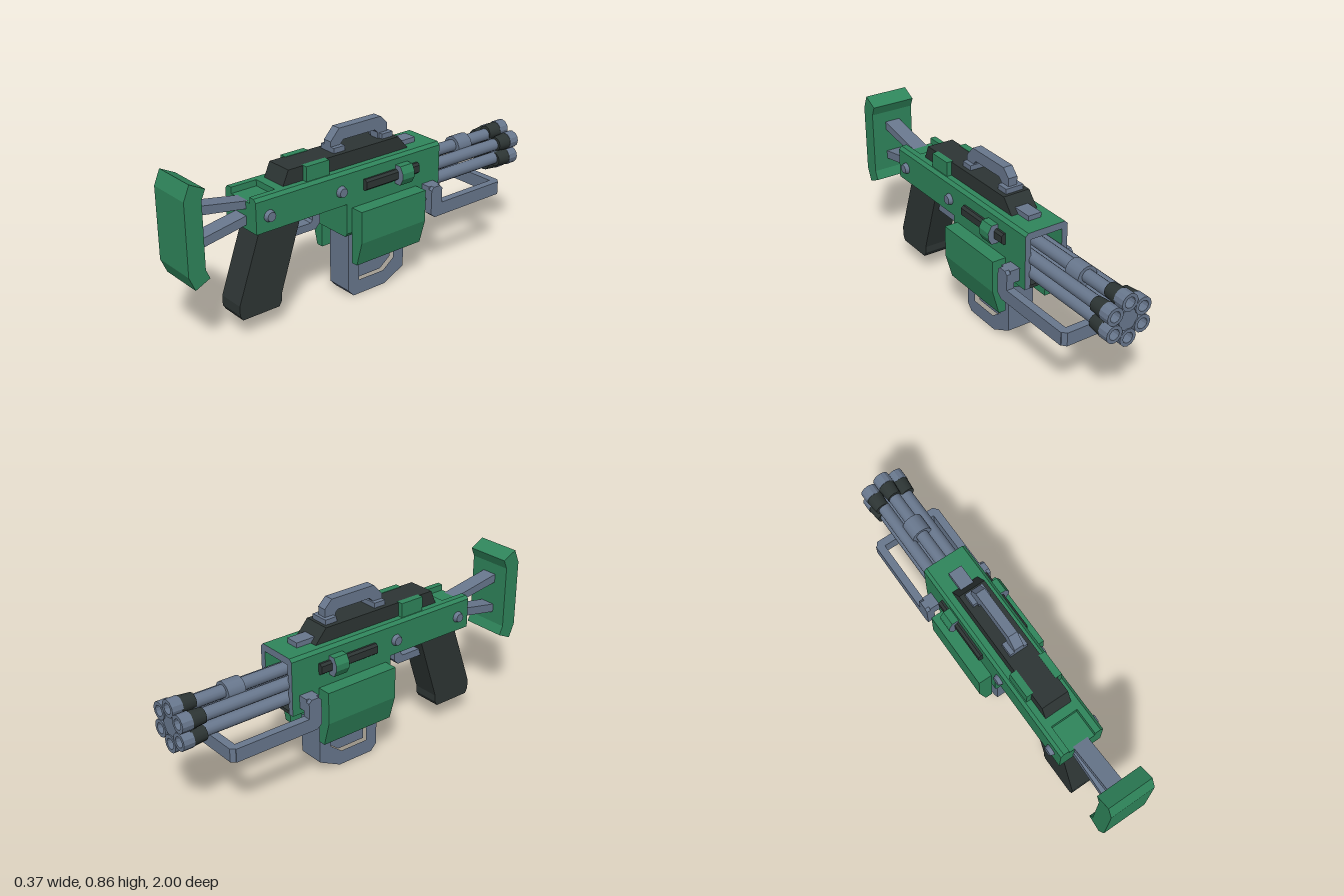
import * as THREE from 'three';

const mat = (name, color, side = THREE.FrontSide) => {
  const m = new THREE.MeshStandardMaterial({ color, side });
  m.name = name;
  return m;
};

export function createModel() {
  const green = mat('green shell', 0x2f855b);
  const grey = mat('blue grey metal', 0x68778d);
  const dark = mat('charcoal', 0x2d3534);
  const root = new THREE.Group();

  const add = (name, geo, material, x = 0, y = 0, z = 0, parent = root) => {
    const m = new THREE.Mesh(geo, material);
    m.name = name;
    m.position.set(x, y, z);
    parent.add(m);
    return m;
  };
  const toShape = pts => new THREE.Shape(pts.map(p => new THREE.Vector2(...p)));
  // Side profile given as (z, y), extruded across x about its centre
  const sideGeo = (pts, width, hole) => {
    const s = toShape(pts);
    if (hole) s.holes.push(toShape(hole));
    return new THREE.ExtrudeGeometry(s, { depth: width, bevelEnabled: false })
      .translate(0, 0, -width / 2).rotateY(-Math.PI / 2);
  };
  // Cross-section given as (x, y), extruded from z0 to z1
  const frontGeo = (pts, z0, z1) =>
    new THREE.ExtrudeGeometry(toShape(pts), { depth: z1 - z0, bevelEnabled: false }).translate(0, 0, z0);
  // Box given by its limits
  const box = (name, material, x0, x1, y0, y1, z0, z1) =>
    add(name, new THREE.BoxGeometry(x1 - x0, y1 - y0, z1 - z0), material,
      (x0 + x1) / 2, (y0 + y1) / 2, (z0 + z1) / 2);
  const mirrorX = (pts, s) => pts.map(([x, y]) => [x * s, y]);

  // Shoulder stock and its two struts
  add('stockPad', sideGeo([[1, .43], [1, .775], [.97, .845], [.895, .807], [.915, .76],
    [.915, .44], [.895, .395], [.97, .36]], .23), green);
  add('upperStrut', sideGeo([[.93, .708], [.93, .664], [.5, .596], [.5, .63]], .08), grey);
  add('lowerStrut', sideGeo([[.93, .537], [.93, .494], [.6, .552], [.6, .595]], .08), grey);

  // Receiver: main block, notched rear and open front shroud
  const W = .115, C = .015;
  add('receiver', frontGeo([[-W, .52], [W, .52], [W, .685 - C], [W - C, .685], [C - W, .685], [-W, .685 - C]],
    -.28, .515), green);
  add('receiverRear', frontGeo([[-W, .52], [W, .52], [W, .685 - C], [W - C, .685], [.07, .685], [.07, .655],
    [-.07, .655], [-.07, .685], [C - W, .685], [-W, .685 - C]], .515, .65), green);
  add('frontShroud', frontGeo([[-W, .4], [-.085, .4], [-.085, .65], [.085, .65], [.085, .4], [W, .4],
    [W, .685 - C], [W - C, .685], [C - W, .685], [-W, .685 - C]], -.435, -.28), [grey, green]);
  box('shroudBack', dark, -.085, .085, .41, .65, -.29, -.28);
  box('shroudFloor', dark, -.085, .085, .396, .412, -.43, -.28);
  add('lowerReceiver', frontGeo([[-.1, .35], [.1, .35], [W, .37], [W, .52], [-W, .52], [-W, .37]],
    -.28, .145), green);
  add('lowerReceiverNose', sideGeo([[-.28, .35], [-.28, .4], [-.4, .4], [-.32, .35]], .2), green);

  // Top cover, sight block and carry handle
  add('topCover', sideGeo([[.473, .68], [.44, .755], [-.205, .755], [-.27, .68]], .14), dark);
  box('sightBlock', grey, -.035, .035, .68, .71, -.345, -.235);
  add('carryHandle', sideGeo([[.165, .75], [.165, .805], [.115, .86], [-.135, .86], [-.175, .82], [-.175, .75],
    [-.115, .75], [-.115, .785], [-.1, .8], [.09, .8], [.11, .78], [.11, .75]], .048), grey);
  for (const [a, b] of [[-.19, -.125], [.1, .165]]) box('handleFoot', grey, -.047, .047, .75, .78, a, b);

  // Pistol grip and trigger guard
  add('grip', sideGeo([[.6, .525], [.375, .525], [.495, .16], [.495, .125], [.51, .1], [.71, .1],
    [.725, .125], [.725, .175]], .14), dark);
  add('triggerGuard', sideGeo([[.285, .53], [.285, .455], [.295, .443], [.42, .443], [.42, .405],
    [.265, .405], [.242, .43], [.242, .53]], .07), grey);

  // Magazine: thick rim around a recessed core
  const rim = [[.1, .38], [.1, .035], [.068, 0], [-.13, 0], [-.25, .06], [-.25, .38]];
  const recess = [[.035, .36], [.035, .075], [-.12, .075], [-.185, .125], [-.185, .36]];
  add('magazineRim', sideGeo(rim, .14, recess), grey);
  add('magazineCore', sideGeo(recess, .09), grey);

  // Parts repeated on both sides
  for (const s of [1, -1]) {
    add('sidePad', frontGeo(mirrorX([[.113, .21], [.15, .21], [.185, .335], [.185, .495], [.113, .495]], s),
      -.285, .115), green);
    add('slotRail', frontGeo(mirrorX([[.11, .565], [.125, .565], [.138, .575], [.138, .61], [.125, .62], [.11, .62]], s),
      -.285, .045), dark);
    add('slideKnob', frontGeo(mirrorX([[.11, .545], [.15, .545], [.168, .578], [.168, .607], [.15, .64], [.11, .64]], s),
      -.225, -.15), [grey, green]);
    box('coverClip', green, s > 0 ? .06 : -.095, s > 0 ? .095 : -.06, .68, .757, .23, .36);
    for (const z of [.58, .178]) {
      const g = new THREE.CylinderGeometry(.022, .032, .03, 12).rotateZ(-s * Math.PI / 2);
      add('bolt', g, grey, s * .12, .593, z);
    }
    // Hand guard arm with its mounting lug
    add('guardArm', sideGeo([[-.325, .48], [-.34, .495], [-.38, .495], [-.395, .48], [-.395, .402],
      [-.79, .402], [-.79, .335], [-.35, .335], [-.325, .355]], .04), grey, s * .165);
    box('guardLug', grey, s > 0 ? .1 : -.165, s > 0 ? .165 : -.1, .43, .495, -.395, -.325);
  }
  const bar = new THREE.ExtrudeGeometry(toShape([[-.185, .77], [-.145, .77], [.145, .77], [.185, .77],
    [.185, .785], [.165, .81], [-.165, .81], [-.185, .785]]), { depth: .067, bevelEnabled: false })
    .rotateX(-Math.PI / 2);
  add('guardCrossbar', bar, grey, 0, .335, 0);

  // Rotary barrels
  const barrels = new THREE.Group();
  barrels.name = 'barrelCluster';
  barrels.position.y = .51;
  root.add(barrels);
  const rod = (r0, r1, z0, z1, n = 14) =>
    new THREE.CylinderGeometry(r1, r0, z1 - z0, n).rotateX(Math.PI / 2).translate(0, 0, (z0 + z1) / 2);
  const ring = new THREE.LatheGeometry([[.026, 0], [.043, 0], [.043, .055], [.026, .055], [.026, 0]]
    .map(p => new THREE.Vector2(...p)), 12).rotateX(Math.PI / 2);
  for (let i = 0; i < 6; i++) {
    const a = Math.PI / 2 + i * Math.PI / 3, c = Math.cos(a), s = Math.sin(a);
    add('barrel', rod(.031, .031, -.9, -.28), grey, c * .074, s * .074, 0, barrels);
    add('barrelCollar', rod(.043, .036, -.95, -.875, 12), dark, c * .084, s * .084, 0, barrels)
      .rotation.z = 0;
    add('muzzleRing', ring.clone().toNonIndexed(), grey, c * .086, s * .086, -1, barrels);
    add('boreFloor', rod(.03, .03, -.957, -.949, 12), grey, c * .086, s * .086, 0, barrels);
  }
  add('centreRod', rod(.03, .03, -.95, -.28), grey, 0, 0, 0, barrels);
  add('muzzleHub', rod(.05, .05, -.995, -.94, 12), grey, 0, 0, 0, barrels);
  add('barrelSleeve', rod(.052, .052, -.725, -.635), grey, 0, .068, 0, barrels);

  // Flat shading for the faceted metal rings
  root.traverse(o => {
    if (o.name === 'muzzleRing') o.geometry.computeVertexNormals();
  });
  return root;
}
